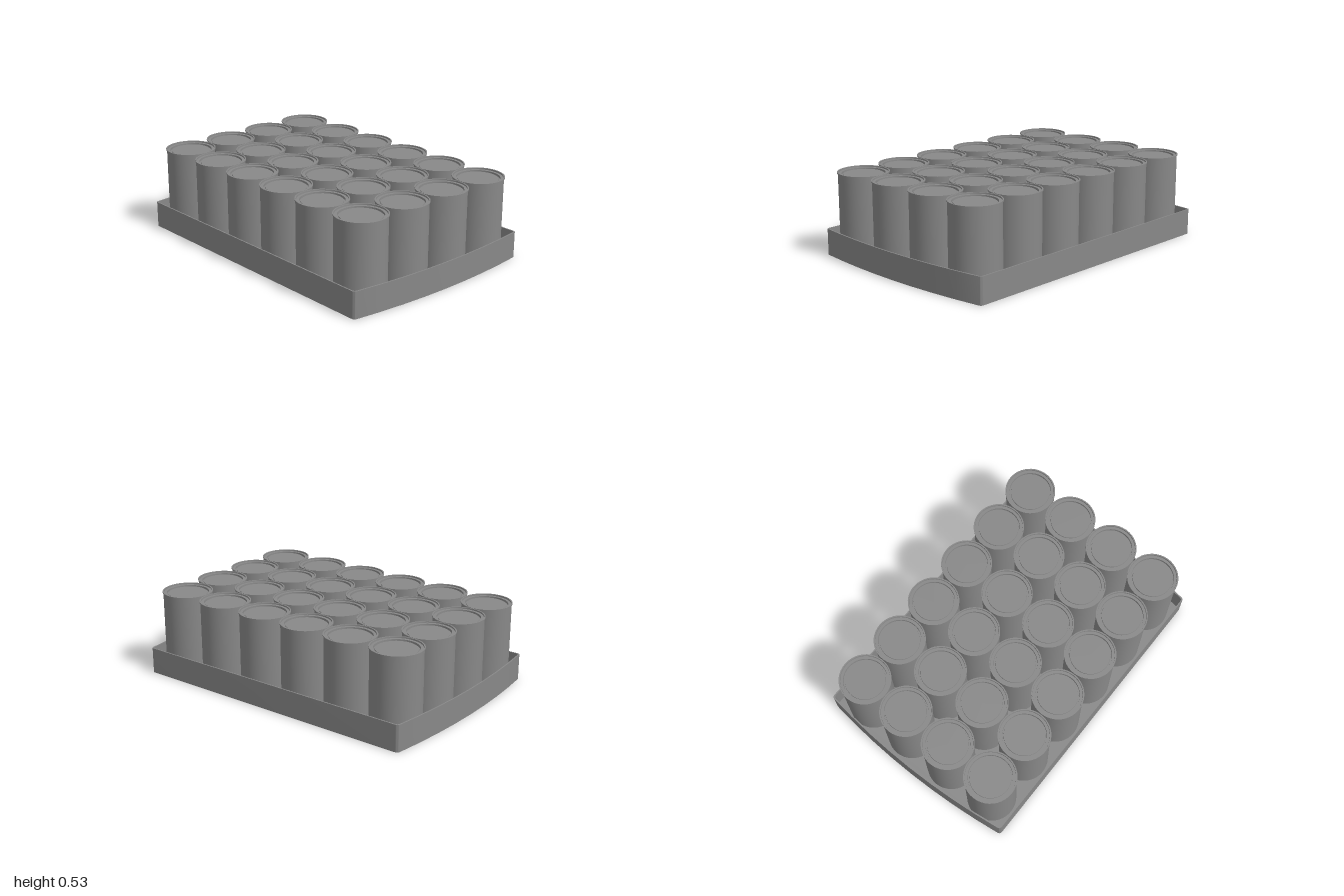
import * as THREE from 'three';
import { toCreasedNormals } from 'three/addons/utils/BufferGeometryUtils.js';

const material = new THREE.MeshStandardMaterial({ color: 0x888888 });

// Rectangle with bowed ends and slightly rounded corners, inset by t
function outline(PathType, t) {
  const w = 0.67 - t, side = 0.932 - t, end = 0.954 - t, bow = 1.046 - t, c = 0.652 - t;
  const p = new PathType();
  p.moveTo(w, -side);
  p.lineTo(w, side);
  p.quadraticCurveTo(w, end - 0.003, c, end);
  p.quadraticCurveTo(0, bow, -c, end);
  p.quadraticCurveTo(-w, end - 0.003, -w, side);
  p.lineTo(-w, -side);
  p.quadraticCurveTo(-w, -end + 0.003, -c, -end);
  p.quadraticCurveTo(0, -bow, c, -end);
  p.quadraticCurveTo(w, -end + 0.003, w, -side);
  return p;
}

// Extrudes a flat outline upwards from the ground, smooth around the corners
function slab(shape, height) {
  const g = new THREE.ExtrudeGeometry(shape, { depth: height, bevelEnabled: false, curveSegments: 8 });
  g.rotateX(-Math.PI / 2);
  return toCreasedNormals(g, 0.7);
}

// Lathe with sharp edges: each profile segment is its own band
function latheBands(profile) {
  return profile.slice(1).map((p, i) => {
    const a = profile[i];
    return new THREE.LatheGeometry([new THREE.Vector2(...a), new THREE.Vector2(...p)], 40);
  });
}

export function createModel() {
  const model = new THREE.Group();
  const add = (parent, name, geometry) => {
    const mesh = new THREE.Mesh(geometry, material);
    mesh.name = name;
    parent.add(mesh);
  };

  // Open tray: floor and thin wall
  const tray = new THREE.Group();
  tray.name = 'tray';
  const wall = outline(THREE.Shape, 0);
  wall.holes.push(outline(THREE.Path, 0.008));
  add(tray, 'trayWall', slab(wall, 0.165));
  add(tray, 'trayFloor', slab(outline(THREE.Shape, 0.004), 0.008));
  model.add(tray);

  // Can profile: base, body, protruding rim, lid with a groove around its panel
  const bands = latheBands([
    [0, 0.008], [0.153, 0.008], [0.153, 0.522], [0.158, 0.523], [0.158, 0.53],
    [0.15, 0.53], [0.149, 0.521], [0.132, 0.521], [0.131, 0.508],
    [0.123, 0.508], [0.122, 0.515], [0, 0.515],
  ]);
  const names = ['canBase', 'canBody', 'rimUnderside', 'rimEdge', 'rimTop', 'rimInside',
    'lidRing', 'grooveOuterWall', 'grooveFloor', 'grooveInnerWall', 'lidPanel'];

  // Four by six cans
  for (let col = 0; col < 4; col++) {
    for (let row = 0; row < 6; row++) {
      const can = new THREE.Group();
      can.name = 'can';
      bands.forEach((g, i) => add(can, names[i], g));
      can.position.set((col - 1.5) * 0.319 - 0.004, 0, (row - 2.5) * 0.32);
      model.add(can);
    }
  }
  return model;
}
